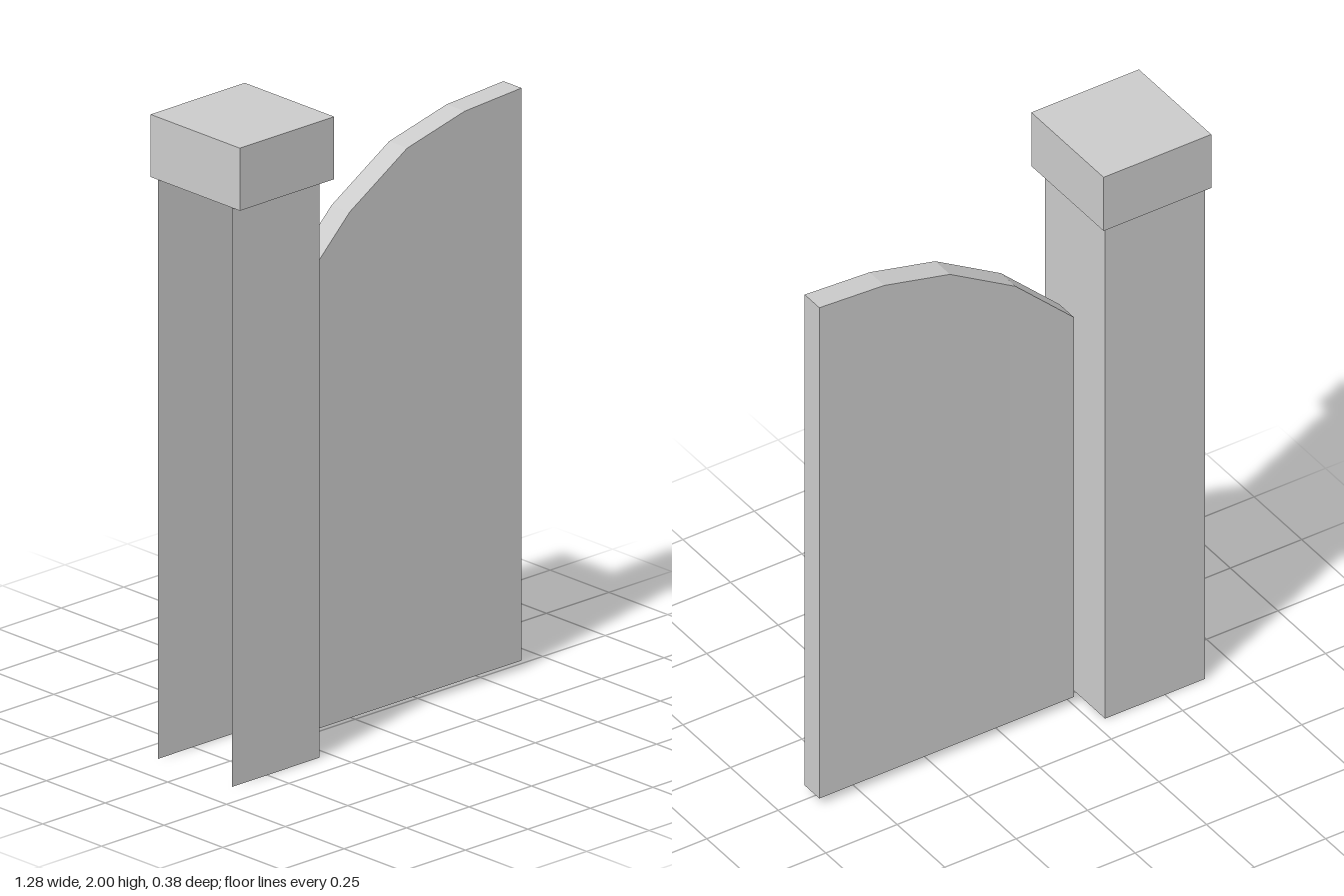
import * as THREE from 'three';

const material = new THREE.MeshStandardMaterial({
  color: 0xcccccc, flatShading: true, side: THREE.DoubleSide,
});

function addMesh(parent, name, geometry, x = 0, y = 0, z = 0, turn = 0) {
  const mesh = new THREE.Mesh(geometry, material);
  mesh.name = name;
  mesh.position.set(x, y, z);
  mesh.rotation.y = turn;
  parent.add(mesh);
  return mesh;
}

export function createModel() {
  const model = new THREE.Group();
  model.name = 'gate';

  // Hollow post: front, back and inner walls, open on the outer side and below
  const height = 1.805, width = 0.35, depth = 0.315;
  const post = new THREE.Group();
  post.name = 'post';
  post.position.set(-0.465, height / 2, 0);
  model.add(post);
  const broadWall = new THREE.PlaneGeometry(width, height);
  addMesh(post, 'postFront', broadWall, 0, 0, depth / 2);
  addMesh(post, 'postBack', broadWall, 0, 0, -depth / 2, Math.PI);
  addMesh(post, 'postInnerSide', new THREE.PlaneGeometry(depth, height), width / 2, 0, 0, Math.PI / 2);

  // Cap, flush with the post on its outer side
  addMesh(model, 'postCap', new THREE.BoxGeometry(0.377, 0.195, 0.38), -0.4515, 1.9025, 0);

  // Gate leaf with a faceted, arched top
  const left = -0.255, right = 0.637, bottom = 0.025;
  const arch = [[left, 1.405], [-0.05, 1.603], [0.18, 1.742], [0.41, 1.797], [right, 1.81]];
  const outline = [[right, bottom], [left, bottom], ...arch].map(([x, y]) => new THREE.Vector2(x, y));
  const leaf = new THREE.ExtrudeGeometry(new THREE.Shape(outline), { depth: 0.077, bevelEnabled: false });
  addMesh(model, 'gateLeaf', leaf, 0, 0, -0.047);

  return model;
}
